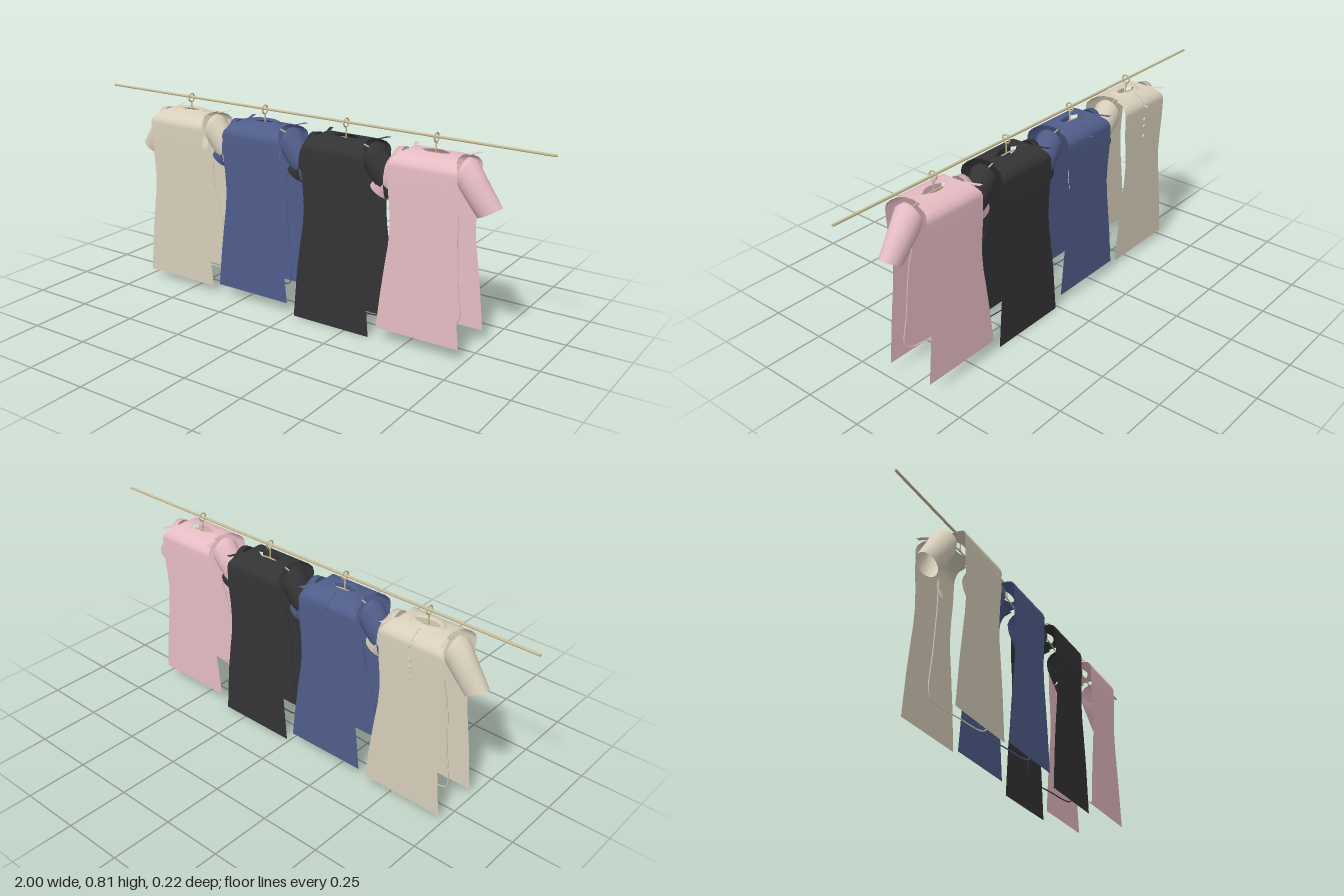
import * as THREE from 'three';

const Z0 = 0.01; // depth of the rail

// Surface through rows of points, every row having the same count
function loft(rows, closed = false) {
  const n = rows[0].length, pos = rows.flat(2), index = [];
  for (let r = 0; r < rows.length - 1; r++) {
    for (let i = 0; i < (closed ? n : n - 1); i++) {
      const a = r * n + i, b = r * n + (i + 1) % n;
      index.push(a, a + n, b, b, a + n, b + n);
    }
  }
  const g = new THREE.BufferGeometry();
  g.setAttribute('position', new THREE.Float32BufferAttribute(pos, 3));
  g.setIndex(index);
  g.computeVertexNormals();
  return g;
}

function add(parent, name, geometry, material, x = 0, y = 0, z = 0) {
  const m = new THREE.Mesh(geometry, material);
  m.name = name;
  m.position.set(x, y, z);
  parent.add(m);
  return m;
}

function tube(points, radius, segments = 32) {
  const curve = new THREE.CatmullRomCurve3(points.map(p => new THREE.Vector3(...p)));
  return new THREE.TubeGeometry(curve, segments, radius, 6);
}

// Half of the dress: shoulder yoke from the neck slit, folding into a flat panel
function dressHalf(side, hem) {
  const profile = [
    // y, z, half width
    [0.738, 0, 0.1], [0.736, 0.035, 0.103], [0.73, 0.06, 0.112], [0.718, 0.082, 0.124],
    [0.703, 0.096, 0.133], [0.685, 0.1, 0.137], [0.6, 0.1, 0.134], [0.53, 0.1, 0.126],
    [0.46, 0.1, 0.122], [0.39, 0.1, 0.127], [0.31, 0.1, 0.139], [0.2, 0.1, 0.154], [hem, 0.1, 0.171],
  ];
  return loft(profile.map(([y, z, w], r) => {
    const row = [];
    for (let i = 0; i <= 20; i++) {
      const x = (i / 10 - 1) * w;
      const neck = r === 0 ? 0.025 * Math.max(0, 1 - (x / 0.055) ** 2) : 0;
      row.push([x, y, side * (z + neck)]);
    }
    return row;
  }));
}

// Short sleeve: elliptical rings from the armhole to the cuff
function sleeve(side) {
  const rings = [
    // upper point, lower point, half depth
    [[0.125, 0.735], [0.1, 0.63], 0.052], [[0.152, 0.732], [0.108, 0.615], 0.056],
    [[0.205, 0.655], [0.14, 0.57], 0.046], [[0.262, 0.573], [0.175, 0.524], 0.036],
  ];
  return loft(rings.map(([top, low, d]) => {
    const ring = [];
    for (let i = 0; i < 16; i++) {
      const a = i / 16 * Math.PI * 2, k = (1 + Math.cos(a)) / 2;
      ring.push([side * (low[0] + (top[0] - low[0]) * k), low[1] + (top[1] - low[1]) * k, d * Math.sin(a)]);
    }
    return ring;
  }), true);
}

// Turned-down collar around the neck slit
function collar() {
  return loft([[0.052, 0.02, 0.739], [0.06, 0.03, 0.747], [0.07, 0.05, 0.737]].map(([rx, rz, y]) => {
    const ring = [];
    for (let i = 0; i < 20; i++) {
      const a = i / 20 * Math.PI * 2;
      ring.push([rx * Math.cos(a), y, rz * Math.sin(a)]);
    }
    return ring;
  }), true);
}

function makeHanger(metal) {
  const g = new THREE.Group();
  g.name = 'hanger';
  add(g, 'hangerRing', new THREE.TorusGeometry(0.0165, 0.003, 8, 24), metal, 0, 0.788).rotation.y = Math.PI / 2;
  add(g, 'hangerStem', new THREE.CylinderGeometry(0.003, 0.003, 0.045, 8), metal, 0, 0.75);
  add(g, 'hangerArms', tube([[-0.1, 0.71, 0], [-0.05, 0.725, 0], [0, 0.73, 0], [0.05, 0.725, 0], [0.1, 0.71, 0]], 0.003), metal);
  return g;
}

function makeDress({ name, x, hem, color, loopY, skew, loopZ, hasCollar, buttons }, metal) {
  const g = new THREE.Group();
  g.name = name;
  g.position.set(x, 0, Z0);
  const cloth = new THREE.MeshStandardMaterial({ color, side: THREE.DoubleSide });

  add(g, 'frontPanel', dressHalf(1, hem), cloth);
  add(g, 'backPanel', dressHalf(-1, hem), cloth);

  for (const s of [-1, 1]) {
    add(g, s > 0 ? 'leftSleeve' : 'rightSleeve', sleeve(s), cloth);
    // flat shoulder flap behind the armhole
    add(g, 'shoulderFlap', loft([
      [[s * 0.1, 0.732, -0.035], [s * 0.112, 0.732, -0.035]],
      [[s * 0.12, 0.732, -0.1], [s * 0.138, 0.732, -0.1]],
    ]), cloth);
  }

  // Thin cord hanging in a loop between the panels
  const l = -0.165 + skew, r = 0.165 + skew, y = loopY;
  add(g, 'hangingCord', tube([
    [-0.1, 0.56, loopZ - 0.03], [-0.115, 0.45, loopZ - 0.02], [l * 0.9, 0.27, loopZ - 0.02],
    [l, y + 0.02, loopZ - 0.02], [l + 0.02, y, loopZ - 0.015], [skew, y - 0.005, loopZ],
    [r - 0.02, y, loopZ + 0.015], [r, y + 0.02, loopZ + 0.02], [r * 0.9, 0.27, loopZ + 0.015],
    [0.115, 0.45, loopZ + 0.005], [0.1, 0.56, loopZ - 0.01],
  ], 0.0025, 80), cloth);

  if (hasCollar) {
    add(g, 'collar', collar(), cloth);
    // Back opening with its pull
    add(g, 'backOpening', tube([[0, 0.738, -0.045], [0, 0.732, -0.062], [0, 0.72, -0.084], [0, 0.7, -0.1]], 0.002), cloth);
    add(g, 'backPull', new THREE.CylinderGeometry(0.004, 0.004, 0.018, 8), cloth, 0, 0.693, -0.108).rotation.x = Math.PI / 2;
    // Facing strip inside the back
    add(g, 'backFacing', loft([[0.7, -0.08], [0.66, -0.086], [0.61, -0.09], [0.585, -0.078], [0.555, -0.07]]
      .map(([py, pz]) => [[-0.015, py, pz], [0.015, py, pz]])), cloth);
  }
  if (buttons) {
    for (const by of [0.635, 0.605, 0.56]) {
      add(g, 'button', new THREE.CylinderGeometry(0.008, 0.008, 0.006, 14), cloth, 0, by, -0.103).rotation.x = Math.PI / 2;
    }
  }
  g.add(makeHanger(metal));
  return g;
}

export function createModel() {
  const model = new THREE.Group();
  model.name = 'clothesRail';
  const metal = new THREE.MeshStandardMaterial({ color: 0xc9bb94 });

  add(model, 'rail', new THREE.CylinderGeometry(0.005, 0.005, 2, 12), metal, 0, 0.79, Z0 - 0.002).rotation.z = Math.PI / 2;

  const dresses = [
    { name: 'creamDress', x: -0.565, hem: 0.03, color: 0xd8cfbb, loopY: 0.085, skew: 0.02, loopZ: 0.005, hasCollar: true, buttons: true },
    { name: 'blueDress', x: -0.19, hem: 0.045, color: 0x4f5d8a, loopY: 0.095, skew: -0.02, loopZ: 0.015, hasCollar: true },
    { name: 'blackDress', x: 0.185, hem: 0, color: 0x343436, loopY: 0.06, skew: 0.02, loopZ: 0.005 },
    { name: 'pinkDress', x: 0.56, hem: 0.05, color: 0xe6bcc4, loopY: 0.125, skew: -0.02, loopZ: 0.025 },
  ];
  for (const d of dresses) model.add(makeDress(d, metal));
  return model;
}
